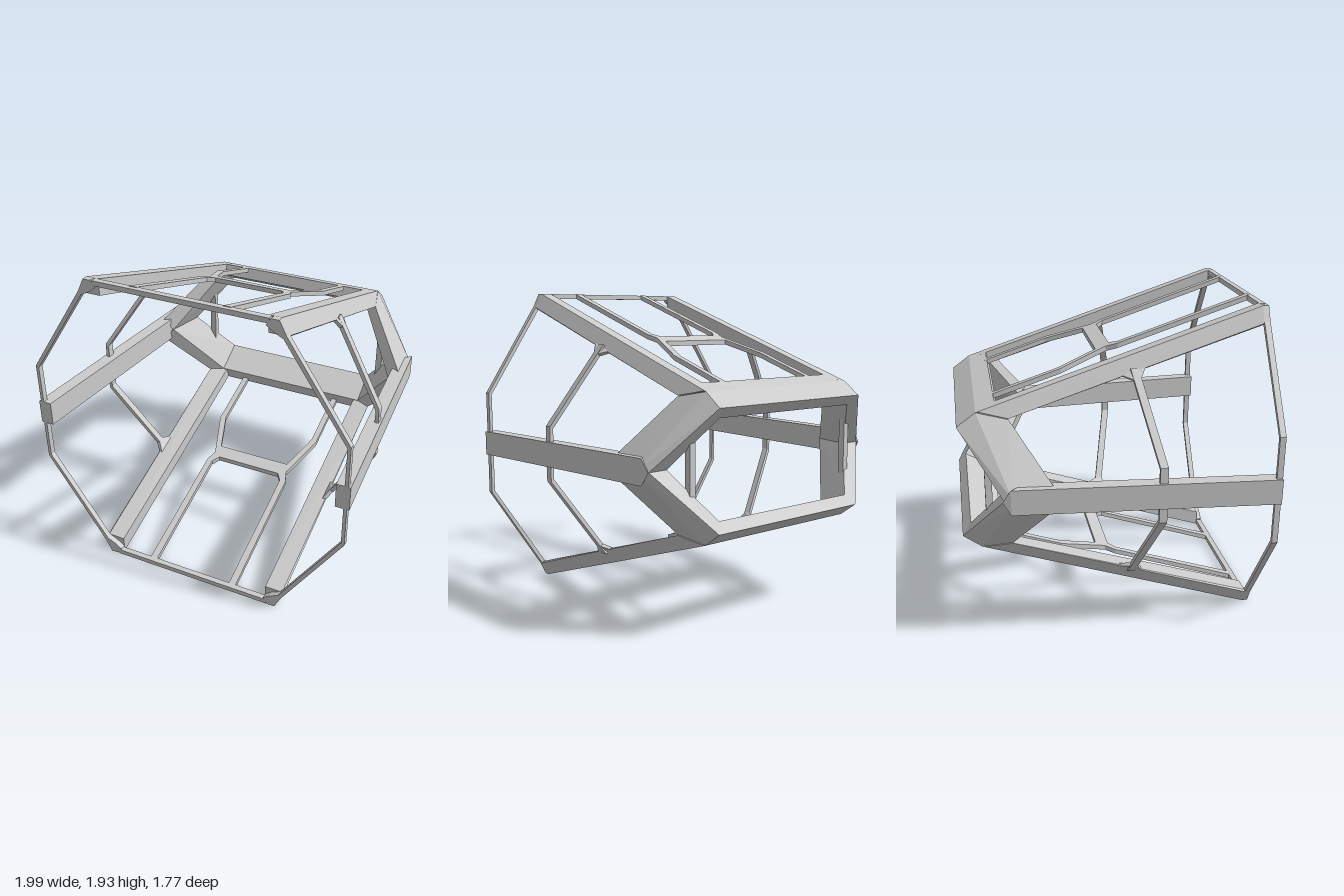
import * as THREE from 'three';
import { ConvexGeometry } from 'three/addons/geometries/ConvexGeometry.js';

const MID = 0.96; // height of the horizontal symmetry plane
const material = new THREE.MeshStandardMaterial({ color: 0xcccccc, flatShading: true });
const roof = (z) => 0.96 - 0.331 * (0.85 - z); // outer plane of the upper frame, above MID

export function createModel() {
  const model = new THREE.Group();
  model.name = 'cockpitFrame';

  // Convex part from corner points (y measured from MID), repeated for each mirror sign
  function hull(name, points, xSigns = [1, -1], ySigns = [1, -1]) {
    for (const sx of xSigns) for (const sy of ySigns) {
      const geometry = new ConvexGeometry(
        points.map(([x, y, z]) => new THREE.Vector3(x * sx, MID + y * sy, z)));
      const mesh = new THREE.Mesh(geometry, material);
      mesh.name = name + (xSigns.length > 1 ? (sx > 0 ? 'Left' : 'Right') : '')
        + (ySigns.length > 1 ? (sy > 0 ? 'Upper' : 'Lower') : '');
      model.add(mesh);
    }
  }
  // Flat strip lying in the sloping roof plane, given by its plan outline [x, z]
  const roofStrip = (name, plan, xSigns) =>
    hull(name, plan.flatMap(([x, z]) => [[x, roof(z), z], [x, roof(z) - 0.03, z]]), xSigns);
  // Piece of the front hoop, given by its outline [x, y]
  const hoopPiece = (name, outline, xSigns) =>
    hull(name, outline.flatMap(([x, y]) => [[x, y, 0.85], [x, y, 0.885]]), xSigns);

  // Long sloping corner spars
  hull('cornerSpar', [
    [0.5, 0.96, 0.85], [0.575, 0.96, 0.85], [0.62, 0.87, 0.85], [0.61, 0.86, 0.85], [0.5, 0.86, 0.85],
    [0.5, roof(-0.75), -0.75], [0.575, roof(-0.77), -0.77], [0.62, 0.39, -0.6],
    [0.6, 0.385, -0.63], [0.5, 0.385, -0.64],
  ]);
  hoopPiece('sparCap', [[0.5, 0.92], [0.53, 0.96], [0.575, 0.96], [0.62, 0.87], [0.6, 0.86], [0.54, 0.89]]);

  // Rear frame: cross-section [y, z] swept between the corners
  const section = [[roof(-0.67), -0.67], [0.42, -0.78], [0.34, -0.89], [0.28, -0.84], [0.385, -0.65]];
  const ends = [0.56, 0.575, 0.575, 0.53, 0.53];
  hull('rearBeam', section.flatMap(([y, z], i) => [[ends[i], y, z], [-ends[i], y, z]]), [1]);
  hull('rearDiagonal', [
    [0.575, 0.42, -0.78], [0.575, 0.34, -0.89], [0.53, 0.28, -0.84], [0.53, 0.385, -0.65], [0.62, 0.385, -0.6],
    [0.89, 0.02, -0.61], [0.865, 0, -0.655], [0.74, 0, -0.65], [0.8, 0, -0.4], [0.87, 0.07, -0.38],
  ]);
  hull('rearPost', [0.62, 0.66].flatMap((x) => [-0.71, -0.75].flatMap((z) =>
    [[x, 0.24 - (x - 0.62) * 1.3, z], [x, -0.24 + (x - 0.62) * 1.3, z]])), [1, -1], [1]);

  // Deep side spars at mid height, ending in a blunt point
  hull('sideSpar', [0.075, -0.075].flatMap((y) => [
    [0.997, y, 0.885], [0.915, y, 0.885], [0.82, y, -0.38], [0.83, y, -0.56], [0.89, y, -0.62],
  ]).concat([[0.875, 0, -0.665]]), [1, -1], [1]);

  // Thin front hoop
  hoopPiece('hoopBar', [[-0.52, 0.96], [0.52, 0.96], [0.52, 0.93], [-0.52, 0.93]], [1]);
  hoopPiece('hoopDiagonal', [[0.595, 0.91], [0.575, 0.895], [0.963, 0.315], [0.983, 0.325]]);
  hoopPiece('hoopPost', [[0.963, 0.315], [0.983, 0.325], [0.983, 0.06], [0.963, 0.06]]);

  // Bent side struts with a flared foot on the corner spar
  const ring = (x, y, z, nx = 0.01, ny = 0.007, w = 0.023) => [
    [x + nx, y + ny, z + w], [x + nx, y + ny, z - w], [x - nx, y - ny, z + w], [x - nx, y - ny, z - w]];
  const knee = ring(0.925, 0.16, 0.22);
  hull('sideStrutPost', [...ring(0.925, 0.06, 0.22, 0.012, 0), ...knee]);
  hull('sideStrutDiagonal', [...knee, ...ring(0.61, 0.64, 0.11)]);
  hull('sideStrutFoot', [...ring(0.645, 0.585, 0.118),
    [0.612, 0.66, 0.18], [0.595, 0.645, 0.18], [0.612, 0.61, 0.03], [0.595, 0.6, 0.03]]);

  // Roof and floor lattice
  roofStrip('latticeCrossbar', [[-0.27, -0.05], [0.27, -0.05], [0.27, 0.035], [-0.27, 0.035]], [1]);
  roofStrip('latticeFrontRail', [[0.255, 0.86], [0.3, 0.86], [0.295, 0.075], [0.255, 0.075]]);
  roofStrip('latticeElbow', [[0.295, 0.075], [0.255, 0.08], [0.22, 0.035], [0.27, 0.01]]);
  roofStrip('latticeDiagonal', [[0.25, -0.05], [0.265, 0.02], [0.37, -0.275], [0.332, -0.29]]);
  roofStrip('latticeRearRail', [[0.332, -0.29], [0.37, -0.275], [0.37, -0.7], [0.332, -0.7]]);

  return model;
}
